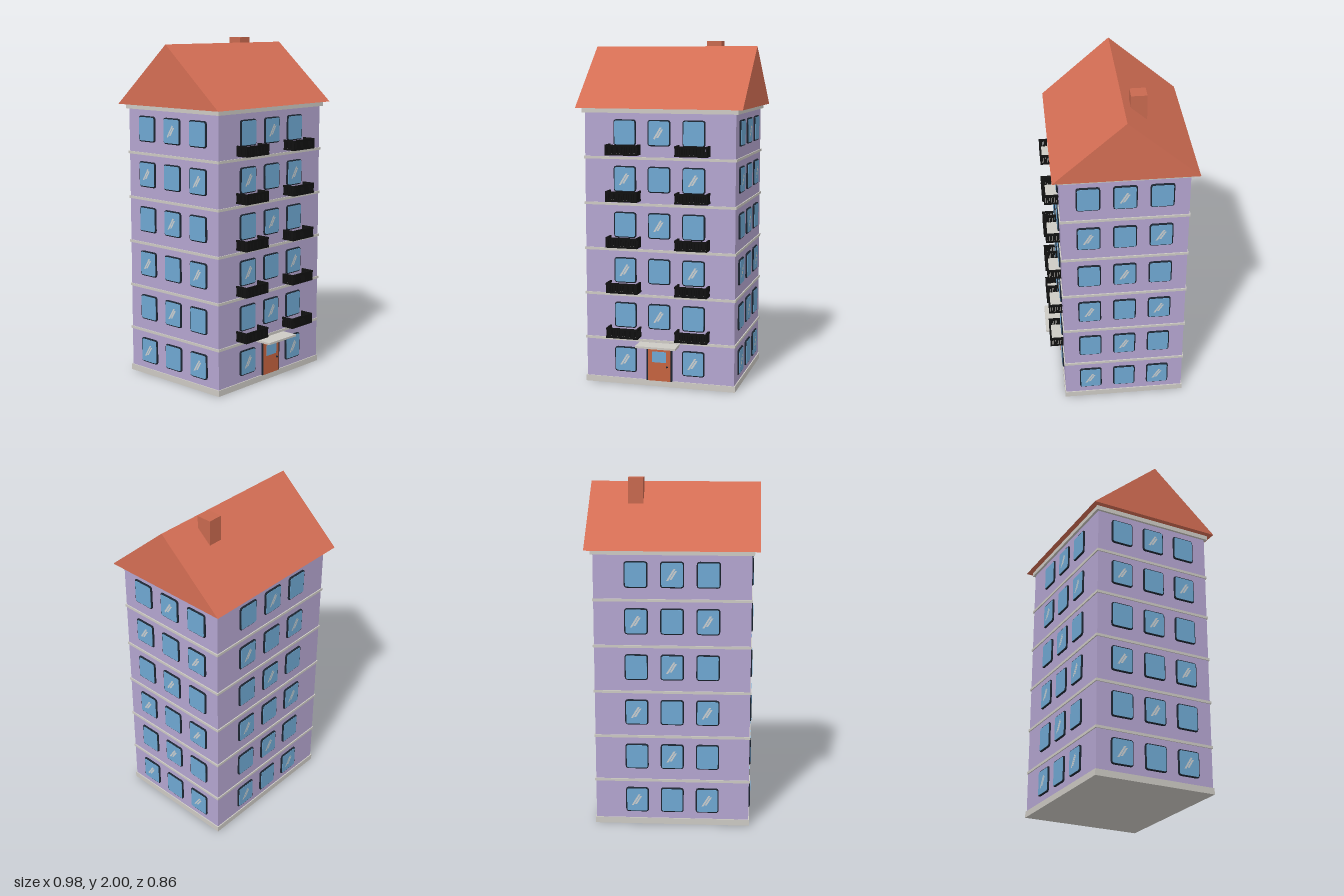
import * as THREE from 'three';
import { mergeGeometries } from 'three/addons/utils/BufferGeometryUtils.js';

const mat = (name, color) => {
  const m = new THREE.MeshStandardMaterial({ color });
  m.name = name;
  return m;
};

export function createModel() {
  const M = {
    wall: mat('lilac wall', 0xb4a5d0),
    trim: mat('pale stone', 0xcdcac4),
    roof: mat('roof tile', 0xd46e54),
    chimney: mat('chimney brick', 0xc8694f),
    glass: mat('window blue', 0x6fa8d2),
    frame: mat('dark frame', 0x1c2531),
    door: mat('door orange', 0xc4623f),
    rail: mat('railing black', 0x101010),
    glint: mat('glass glint', 0xc9ced0),
  };
  const root = new THREE.Group();
  root.name = 'apartmentBuilding';

  const add = (parent, name, geo, material, x = 0, y = 0, z = 0) => {
    const m = new THREE.Mesh(geo, material);
    m.name = name;
    m.position.set(x, y, z);
    parent.add(m);
    return m;
  };
  // box from its min and max on each axis
  const span = (x0, x1, y0, y1, z0, z1) =>
    new THREE.BoxGeometry(x1 - x0, y1 - y0, z1 - z0)
      .translate((x0 + x1) / 2, (y0 + y1) / 2, (z0 + z1) / 2);

  const ZC = -0.028, HX = 0.445, HZ = 0.357, STOREY = 0.2665, STEP = 0.204;
  const ring = (name, out, y0, y1) => add(root, name,
    span(-HX - out, HX + out, y0, y1, ZC - HZ - out, ZC + HZ + out), M.trim);

  // Walls, plinth, storey bands and cornice
  add(root, 'walls', span(-HX, HX, 0.002, 1.605, ZC - HZ, ZC + HZ), M.wall);
  ring('plinth', 0.006, 0, 0.036);
  for (let i = 1; i < 6; i++) ring('storeyBand', 0.006, 0.262 + (i - 1) * 0.2667, 0.277 + (i - 1) * 0.2667);
  ring('cornice', 0.014, 1.594, 1.62);

  // Gable roof
  const gable = new THREE.Shape([[-0.4, 0], [0.4, 0], [0, 0.35]].map(p => new THREE.Vector2(...p)));
  const roofGeo = new THREE.ExtrudeGeometry(gable, { depth: 0.98, bevelEnabled: false });
  roofGeo.translate(0, 0, -0.49).rotateY(Math.PI / 2);
  add(root, 'roof', roofGeo, M.roof, 0, 1.62, -0.03);
  add(root, 'chimney', span(0.178, 0.265, 1.66, 2, -0.163, -0.075), M.chimney);

  // Window pieces
  const roundRect = (w, h, r) => {
    const s = new THREE.Shape(), a = w / 2, b = h / 2;
    s.moveTo(-a + r, -b);
    s.lineTo(a - r, -b); s.quadraticCurveTo(a, -b, a, -b + r);
    s.lineTo(a, b - r); s.quadraticCurveTo(a, b, a - r, b);
    s.lineTo(-a + r, b); s.quadraticCurveTo(-a, b, -a, b - r);
    s.lineTo(-a, -b + r); s.quadraticCurveTo(-a, -b, -a + r, -b);
    return s;
  };
  const frameGeo = new THREE.ExtrudeGeometry(roundRect(0.126, 0.142, 0.014), {
    depth: 0.005, bevelThickness: 0.004, bevelSize: 0.004, bevelSegments: 1, curveSegments: 4,
  });
  const paneGeo = new THREE.ExtrudeGeometry(roundRect(0.12, 0.136, 0.011), {
    depth: 0.002, bevelEnabled: false, curveSegments: 4,
  });
  const stroke = (x, y, len) => {
    const s = new THREE.Shape();
    const dx = len * 0.52, dy = len * 0.85, w = 0.012;
    s.moveTo(x, y); s.lineTo(x + w, y); s.lineTo(x + w + dx, y + dy); s.lineTo(x + dx, y + dy);
    return new THREE.ShapeGeometry(s);
  };
  const glintGeo = mergeGeometries([stroke(-0.034, -0.034, 0.08), stroke(-0.014, -0.026, 0.058)]);

  const makeWindow = (parent, x, y, shiny) => {
    const g = new THREE.Group();
    g.name = 'window';
    g.position.set(x, y, 0);
    parent.add(g);
    add(g, 'windowFrame', frameGeo, M.frame);
    add(g, 'windowPane', paneGeo, M.glass, 0, 0, 0.0085);
    if (shiny) add(g, 'paneGlint', glintGeo, M.glint, 0, 0, 0.0125);
  };

  // Three columns of windows on each of the four sides
  ['front', 'right', 'back', 'left'].forEach((side, k) => {
    const face = new THREE.Group();
    face.name = side + 'Windows';
    const off = k % 2 ? HX : HZ, a = -k * Math.PI / 2;
    face.rotation.y = a;
    face.position.set(Math.sin(a) * off, 0, ZC + Math.cos(a) * off);
    root.add(face);
    for (let row = 0; row < 6; row++) {
      for (let col = -1; col <= 1; col++) {
        if (k === 0 && row === 0 && col === 0) continue; // doorway
        makeWindow(face, col * STEP, 0.15 + row * STOREY, (row + col + 1) % 2 === 0);
      }
    }
  });

  // Entrance
  const zf = ZC + HZ;
  const entrance = new THREE.Group();
  entrance.name = 'entrance';
  entrance.position.z = zf;
  root.add(entrance);
  add(entrance, 'doorFrame', span(-0.077, 0.077, 0.034, 0.245, 0, 0.008), M.frame);
  add(entrance, 'doorLeaf', span(-0.067, 0.067, 0.034, 0.238, 0, 0.011), M.door);
  add(entrance, 'doorPane', span(-0.043, 0.043, 0.146, 0.21, 0.008, 0.013), M.glass);
  add(entrance, 'doorHandle', new THREE.SphereGeometry(0.006, 10, 8), M.frame, 0.048, 0.122, 0.014);
  add(entrance, 'canopy', span(-0.12, 0.12, 0.248, 0.26, 0, 0.099), M.trim);

  // Balcony railing: close-set bars between two rails on three sides
  const bw = 0.095, bd = 0.08, bh = 0.06, t = 0.01;
  const parts = [];
  for (const [y0, y1] of [[0, 0.012], [bh - 0.012, bh]]) {
    parts.push(span(-bw, bw, y0, y1, bd - t, bd));
    for (const s of [-1, 1]) parts.push(span(s * (bw - t / 2) - t / 2, s * (bw - t / 2) + t / 2, y0, y1, 0, bd - t));
  }
  const bar = (x, z) => parts.push(span(x - 0.004, x + 0.004, 0.01, bh - 0.01, z - 0.004, z + 0.004));
  for (let i = 0; i <= 18; i++) bar(-0.09 + i * 0.01, bd - t / 2);
  for (let i = 0; i < 7; i++) for (const s of [-1, 1]) bar(s * (bw - t / 2), 0.005 + i * 0.01);
  const railGeo = mergeGeometries(parts);
  const floorGeo = span(-bw + 0.003, bw - 0.003, 0.001, 0.009, 0, bd - 0.003);

  for (let row = 1; row < 6; row++) {
    for (const s of [-1, 1]) {
      const b = new THREE.Group();
      b.name = 'balcony';
      b.position.set(s * 0.205, 0.291 + (row - 1) * STOREY, zf);
      root.add(b);
      add(b, 'balconyRailing', railGeo, M.rail);
      add(b, 'balconyFloor', floorGeo, M.trim, 0, 0.004, 0);
    }
  }
  return root;
}
